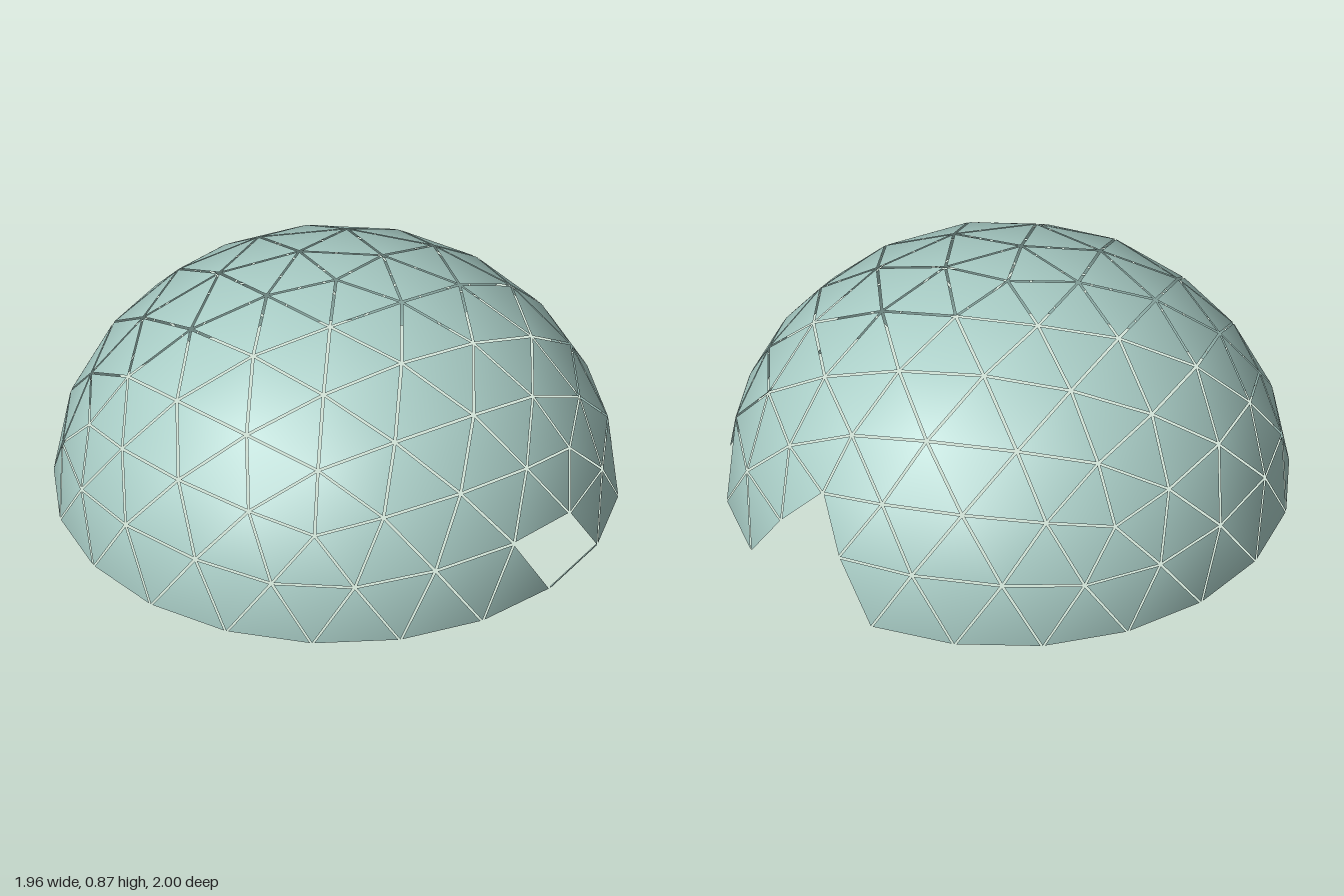
import * as THREE from 'three';

const FREQ = 4;        // subdivisions along each icosahedron edge
const HEIGHT = 0.87;   // vertical squash of the unit dome
const SHRINK = 0.95;   // panels are shrunk to leave open joints
const RADIUS = 1.002;
const SHIFT_X = 0.0245;

// Panels left out: a doorway, a small triangular vent and a front opening
function isOpening(c) {
  const angle = THREE.MathUtils.radToDeg(Math.atan2(c.z, c.x));
  const door = Math.abs(angle) < 14 && c.y < 0.37;
  const vent = Math.abs(angle - 45) < 4 && c.y < 0.25;
  const front = angle > 78 && angle < 93 && c.y < 0.25;
  return door || vent || front;
}

// Icosahedron faces that reach above the equator, standing on a vertex
function upperFaces() {
  const ring = (deg, y) => {
    const a = THREE.MathUtils.degToRad(deg), r = 2 / Math.sqrt(5);
    return new THREE.Vector3(r * Math.cos(a), y / Math.sqrt(5), r * Math.sin(a));
  };
  const apex = new THREE.Vector3(0, 1, 0);
  const faces = [];
  for (let k = 0; k < 5; k++) {
    const a = 72 * k;
    const u0 = ring(a, 1), u1 = ring(a + 72, 1);
    const l0 = ring(a - 36, -1), l1 = ring(a + 36, -1);
    faces.push([apex, u0, u1], [u0, l0, l1], [u0, l1, u1]);
  }
  return faces;
}

// Split one face into small triangles pushed out to the sphere
function subdivide([a, b, c]) {
  const point = (i, j) => new THREE.Vector3()
    .addScaledVector(a, (FREQ - i) / FREQ)
    .addScaledVector(b, (i - j) / FREQ)
    .addScaledVector(c, j / FREQ)
    .normalize();
  const triangles = [];
  for (let i = 0; i < FREQ; i++) {
    for (let j = 0; j <= i; j++) {
      triangles.push([point(i, j), point(i + 1, j), point(i + 1, j + 1)]);
      if (j < i) triangles.push([point(i, j), point(i + 1, j + 1), point(i, j + 1)]);
    }
  }
  return triangles;
}

function panelGeometry() {
  const positions = [], normals = [];
  for (const tri of upperFaces().flatMap(subdivide)) {
    const centre = new THREE.Vector3().add(tri[0]).add(tri[1]).add(tri[2]).divideScalar(3);
    if (centre.y < 0.01 || isOpening(centre)) continue;

    // Keep every panel facing outwards
    const facing = new THREE.Vector3().subVectors(tri[1], tri[0])
      .cross(new THREE.Vector3().subVectors(tri[2], tri[0])).dot(centre);
    const corners = facing > 0 ? tri : [tri[0], tri[2], tri[1]];

    for (const v of corners) {
      const p = centre.clone().lerp(v, SHRINK);
      if (Math.abs(v.y) < 1e-4) p.y = 0;  // bottom edges rest on the ground
      positions.push(p.x * RADIUS, p.y * HEIGHT, p.z * RADIUS);
      const n = new THREE.Vector3(v.x, v.y / HEIGHT, v.z).normalize();
      normals.push(n.x, n.y, n.z);
    }
  }
  const geometry = new THREE.BufferGeometry();
  geometry.setAttribute('position', new THREE.Float32BufferAttribute(positions, 3));
  geometry.setAttribute('normal', new THREE.Float32BufferAttribute(normals, 3));
  return geometry;
}

export function createModel() {
  const group = new THREE.Group();
  group.name = 'geodesicDome';
  const paleTeal = new THREE.MeshStandardMaterial({ color: 0xa9cdc6, side: THREE.DoubleSide });
  paleTeal.name = 'paleTeal';

  // Triangular shell panels
  const panels = new THREE.Mesh(panelGeometry(), paleTeal);
  panels.name = 'shellPanels';
  group.add(panels);

  // Thin sill along the ground under the front opening
  const sill = new THREE.Mesh(new THREE.BoxGeometry(0.31, 0.004, 0.004), paleTeal);
  const a = THREE.MathUtils.degToRad(81), r = Math.cos(Math.PI / 20);
  sill.position.set(r * Math.cos(a), 0.002, r * Math.sin(a));
  sill.rotation.y = Math.PI / 2 - a;
  sill.name = 'frontSill';
  group.add(sill);

  for (const part of group.children) part.position.x += SHIFT_X;
  return group;
}
